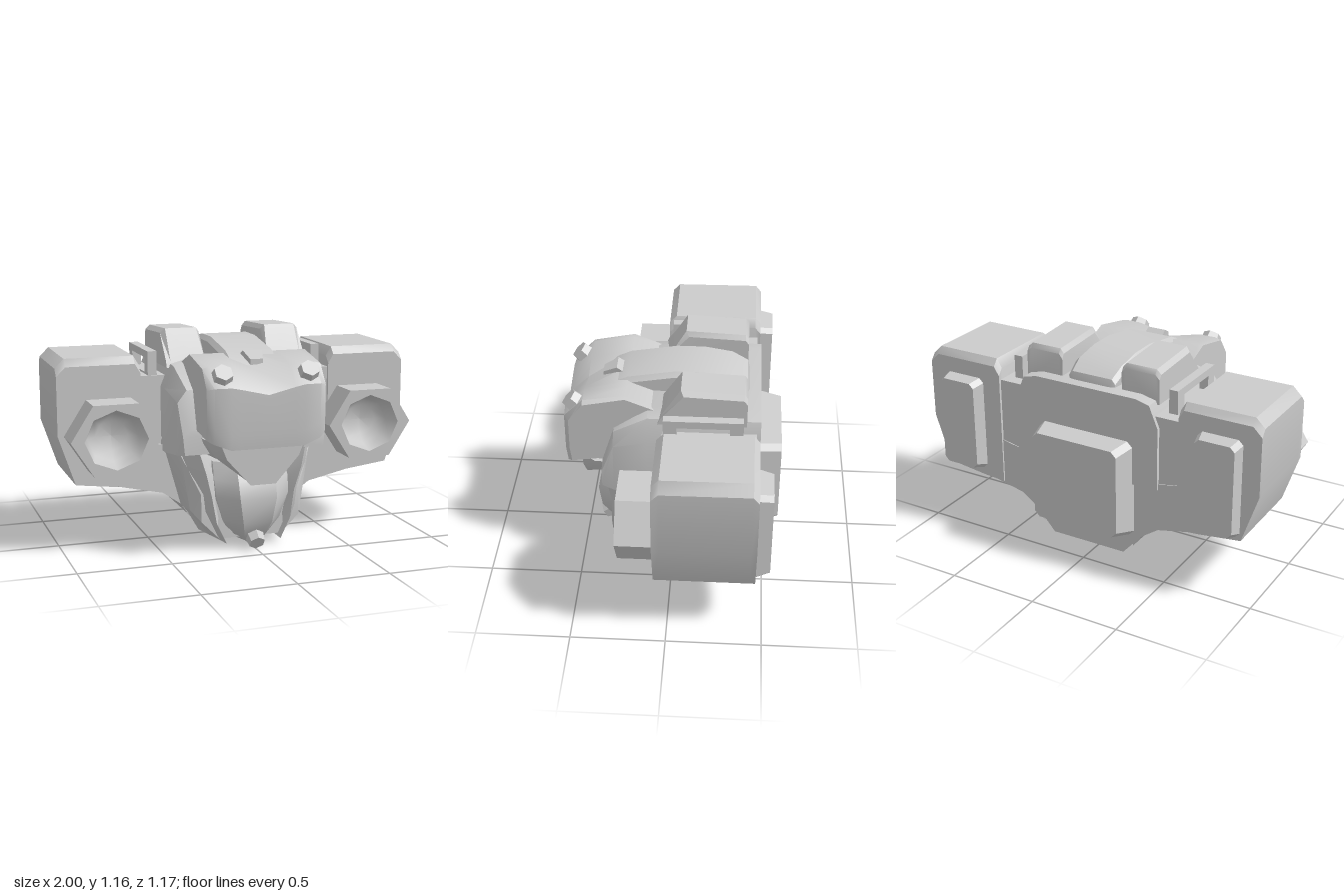
import * as THREE from 'three';
import { toCreasedNormals } from 'three/addons/utils/BufferGeometryUtils.js';

const material = new THREE.MeshStandardMaterial({ color: 0xcccccc, side: THREE.DoubleSide });

// Closed skin over a row of cross-sections, each a loop of [x, y, z] points.
function loft(sections, crease = 0.65) {
  const n = sections[0].length;
  const V = sections.map((s) => s.map((p) => new THREE.Vector3(...p)));
  const tris = [];
  for (let i = 0; i < V.length - 1; i++) {
    for (let j = 0; j < n; j++) {
      const k = (j + 1) % n;
      tris.push([V[i][j], V[i][k], V[i + 1][k]], [V[i][j], V[i + 1][k], V[i + 1][j]]);
    }
  }
  const cap = (loop, flip) => {
    const c = loop.reduce((a, p) => a.add(p), new THREE.Vector3()).divideScalar(n);
    loop.forEach((p, j) => {
      const q = loop[(j + 1) % n];
      tris.push(flip ? [c, q, p] : [c, p, q]);
    });
  };
  cap(V[0], true);
  cap(V[V.length - 1], false);
  // turn the faces outwards whatever the loop direction
  let volume = 0;
  for (const [a, b, c] of tris) volume += a.dot(new THREE.Vector3().crossVectors(b, c));
  const out = [];
  for (const [a, b, c] of tris) for (const p of volume < 0 ? [a, c, b] : [a, b, c]) out.push(p.x, p.y, p.z);
  const g = new THREE.BufferGeometry();
  g.setAttribute('position', new THREE.Float32BufferAttribute(out, 3));
  return toCreasedNormals(g, crease);
}

// Mirrored loop at depth z from the +x half profile, listed top to bottom.
const sym = (z, half) => [
  ...half.map(([x, y]) => [x, y, z]),
  ...[...half].reverse().map(([x, y]) => [-x, y, z]),
];

// Rectangle with cut corners, at depth z.
const octo = (z, x0, x1, y0, y1, c) => [
  [x0 + c, y1, z], [x1 - c, y1, z], [x1, y1 - c, z], [x1, y0 + c, z],
  [x1 - c, y0, z], [x0 + c, y0, z], [x0, y0 + c, z], [x0, y1 - c, z],
];

export function createModel() {
  const model = new THREE.Group();
  const add = (name, geometry) => {
    const m = new THREE.Mesh(geometry, material);
    m.name = name;
    model.add(m);
    return m;
  };

  // upper torso with sloping collar
  const upper = [[0.3, 0.99], [0.38, 0.97], [0.43, 0.85], [0.43, 0.5]];
  add('torso', loft([
    sym(-0.46, upper), sym(0.13, upper),
    sym(0.31, [[0.3, 0.865], [0.36, 0.865], [0.41, 0.8], [0.415, 0.52]]),
    sym(0.375, [[0.3, 0.66], [0.36, 0.66], [0.4, 0.63], [0.39, 0.53]]),
  ]));

  // lower hull, narrowing to the front
  add('lowerHull', loft([
    sym(-0.445, [[0.43, 0.55], [0.33, 0.19], [0.22, 0.065]]),
    sym(0.08, [[0.43, 0.55], [0.33, 0.19], [0.22, 0.055]]),
    sym(0.22, [[0.37, 0.5], [0.32, 0.19], [0.21, 0.04]]),
    sym(0.3, [[0.28, 0.29], [0.28, 0.14], [0.18, 0.04]]),
  ]));

  // chest block, built across x with a dip in the middle of its front
  const chest = [
    [-0.325, 0.55, 0.64, 0.9], [-0.29, 0.575, 0.62, 0.91], [-0.2, 0.58, 0.585, 0.91], [-0.15, 0.58, 0.585, 0.9],
    [0, 0.58, 0.585, 0.865],
  ];
  const chestRows = [...chest, ...chest.slice(0, 4).reverse().map(([x, ...r]) => [-x, ...r])];
  add('chest', loft(chestRows.map(([x, front, low, high]) => [
    [x, 0.985, 0.1], [x, 1.045, 0.25], [x, high + 0.1, 0.475], [x, high, front],
    [x, low + 0.08, front], [x, low, front - 0.01], [x, low + 0.02, 0.4], [x, 0.62, 0.1],
  ])));

  // wedge below the chest and jaw beneath it
  add('mouthWedge', loft([
    sym(0.25, [[0.3, 0.62], [0.27, 0.52], [0.08, 0.42]]),
    sym(0.42, [[0.3, 0.62], [0.24, 0.52], [0.07, 0.385]]),
    sym(0.5, [[0.24, 0.62], [0.2, 0.52], [0.07, 0.375]]),
  ]));
  const jaw = [
    [0.46, 0.2, 0.35], [0.37, 0.21, 0.41], [0.28, 0.205, 0.435], [0.14, 0.16, 0.42],
    [0.06, 0.115, 0.37], [0.02, 0.06, 0.34],
  ];
  add('jaw', loft(jaw.map(([y, w, z]) => [
    [w, y, 0.15], [w, y, z - 0.1], [w * 0.5, y, z], [-w * 0.5, y, z], [-w, y, z - 0.1], [-w, y, 0.15],
  ])));

  // raised ridge along the top
  const ridge = [
    [-0.4, 0.98, 0.12], [-0.385, 1.03, 0.14], [-0.3, 1.075, 0.15], [-0.15, 1.1, 0.15], [0, 1.1, 0.15],
    [0.25, 1.058, 0.15], [0.39, 0.995, 0.15], [0.45, 0.94, 0.145], [0.47, 0.9, 0.12],
  ];
  add('topRidge', loft(ridge.map(([z, top, w]) => sym(z, [[w * 0.85, top], [w, top - 0.025], [w, 0.87]]))));
  add('ridgeCatch', loft([
    sym(0.28, [[0.055, 1.04], [0.05, 0.99]]), sym(0.315, [[0.052, 1.063], [0.045, 0.99]]),
    sym(0.39, [[0.035, 1.025], [0.035, 0.96]]),
  ]));

  // back plate
  add('backPlate', loft([
    octo(-0.43, -0.29, 0.29, 0.18, 0.745, 0.03), octo(-0.58, -0.255, 0.255, 0.225, 0.725, 0.03),
  ]));

  // hexagonal studs on a slanted axis
  const stud = (name, x, y, z, r, tilt) => {
    const g = new THREE.CylinderGeometry(r * 0.85, r, 0.06, 6).toNonIndexed();
    const m = add(name, toCreasedNormals(g, 0.5));
    m.position.set(x, y, z);
    m.rotation.x = tilt;
  };
  stud('chinStud', 0, 0.045, 0.385, 0.052, 2.15);

  for (const s of [1, -1]) {
    const flip = (sections) => sections.map((l) => l.map(([x, y, z]) => [x * s, y, z]));
    stud('chestStud', 0.235 * s, 0.97, 0.533, 0.06, 0.8);

    // cheek guard beside the jaw
    add('cheekGuard', loft(flip([
      [[0.38, 0.53, 0.2], [0.3, 0.53, 0.34], [0.27, 0.53, 0.3]],
      [[0.36, 0.42, 0.21], [0.27, 0.42, 0.36], [0.22, 0.42, 0.3]],
      [[0.34, 0.3, 0.2], [0.235, 0.29, 0.345], [0.18, 0.3, 0.28]],
      [[0.31, 0.17, 0.1], [0.21, 0.14, 0.355], [0.16, 0.17, 0.25]],
      [[0.23, 0.035, 0.08], [0.155, 0.025, 0.355], [0.15, 0.03, 0.2]],
    ])));

    // box on each shoulder
    add('shoulderBox', loft(flip([[0.18, 0.025], [0.2, 0], [0.375, 0], [0.4, 0.025]].map(([x, d]) => [
      [x, 0.95, 0.075], [x, 0.985, 0.06], [x, 1.15 - d, -0.045 - d * 0.6],
      [x, 1.135 - d, -0.37], [x, 1.11 - d, -0.387], [x, 0.95, -0.387],
    ]))));

    // connector, arm and upright handle between torso and pod
    const link = [[0.4, 0.91], [0.57, 0.91], [0.57, 0.58], [0.51, 0.5], [0.4, 0.5]];
    add('connector', loft(flip([-0.44, 0.05].map((z) => link.map(([x, y]) => [x, y, z])))));
    add('arm', loft(flip([[0.28, 0.12, 0.5], [0.33, 0.19, 0.55], [0.43, 0.26, 0.53], [0.68, 0.315, 0.58]].map(
      ([x, low, high]) => [[x, low, -0.445], [x, high, -0.445], [x, high, 0.075], [x, low, 0.075]]))));
    const frame = new THREE.Shape();
    frame.moveTo(-0.04, 0.82).lineTo(0.37, 0.82).lineTo(0.37, 1.04).lineTo(-0.04, 1.04).closePath();
    const hole = new THREE.Path();
    hole.moveTo(0.03, 0.92).lineTo(0.03, 1.0).lineTo(0.3, 1.0).lineTo(0.3, 0.92).closePath();
    frame.holes.push(hole);
    const handle = add('handle', new THREE.ExtrudeGeometry(frame, { depth: 0.05, bevelEnabled: false }));
    handle.rotation.y = Math.PI / 2;
    handle.position.x = s * 0.472 - 0.025;

    // side pod with bevelled top and slanted underside
    const pod = (z, top) => [
      [0.545, top - 0.05, z], [0.575, top, z], [0.95, top, z], [1, top - 0.05, z],
      [1, 0.61, z], [0.91, 0.34, z], [0.67, 0.31, z], [0.545, 0.3, z],
    ];
    add('sidePod', loft(flip([pod(-0.455, 0.985), pod(-0.425, 1.023), pod(0.03, 1.02), pod(0.068, 0.98)])));
    add('podBackPlate', loft(flip([
      octo(-0.44, 0.65, 0.905, 0.35, 0.9, 0.025), octo(-0.528, 0.67, 0.89, 0.38, 0.885, 0.025),
    ])));

    // hexagonal barrel with a hollow bowl
    const ring = (Type, n, rx, ry, turn) => new Type(Array.from({ length: n }, (_, i) => {
      const a = (i / n) * Math.PI * 2 + turn;
      return new THREE.Vector2(Math.cos(a) * rx, Math.sin(a) * ry);
    }));
    const hex = ring(THREE.Shape, 6, 0.244, 0.22, 0);
    hex.holes.push(ring(THREE.Path, 8, 0.172, 0.16, Math.PI / 2));
    const barrel = add('barrel', new THREE.ExtrudeGeometry(hex, { depth: 0.2, bevelEnabled: false }));
    barrel.position.set(0.723 * s, 0.61, 0.055);
    const bowlProfile = [[0, 0.06], [0.09, 0.07], [0.14, 0.11], [0.172, 0.2]].map((p) => new THREE.Vector2(...p));
    const bowl = add('barrelBowl', new THREE.LatheGeometry(bowlProfile, 8).rotateX(Math.PI / 2).scale(1, 0.93, 1));
    bowl.position.copy(barrel.position);
  }
  return model;
}
